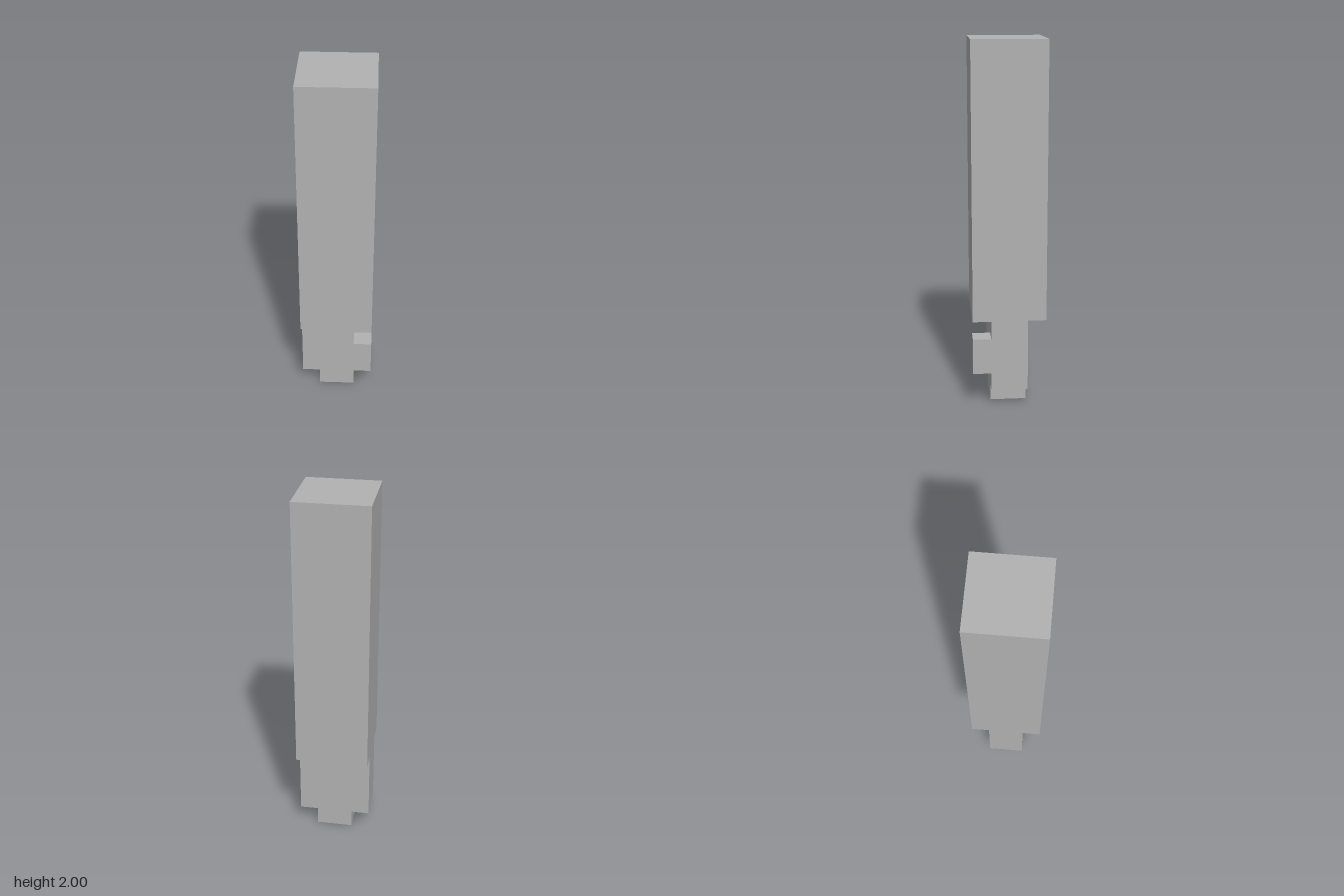
import * as THREE from 'three';

export function createModel() {
  const group = new THREE.Group();
  const grey = new THREE.MeshStandardMaterial({ color: 0xb2b2b2 });
  grey.name = 'plain grey';

  // Adds a block spanning the given minimum and maximum corners
  function block(name, min, max) {
    const size = max.map((v, i) => v - min[i]);
    const mesh = new THREE.Mesh(new THREE.BoxGeometry(...size), grey);
    mesh.position.set(...max.map((v, i) => (v + min[i]) / 2));
    mesh.name = name;
    group.add(mesh);
  }

  // Tall square shaft
  block('shaft', [-0.2, 0.5, -0.2], [0.2, 2, 0.2]);
  // Narrower tongue below the shaft, flush with its two sides
  block('tongue', [-0.2, 0.1, -0.1], [0.2, 0.5, 0.1]);
  // Small key on the front of the tongue, flush with the left side
  block('key', [0.1, 0.2, 0.1], [0.2, 0.4, 0.2]);
  // Square foot peg
  block('footPeg', [-0.1, 0, -0.1], [0.1, 0.1, 0.1]);

  return group;
}
